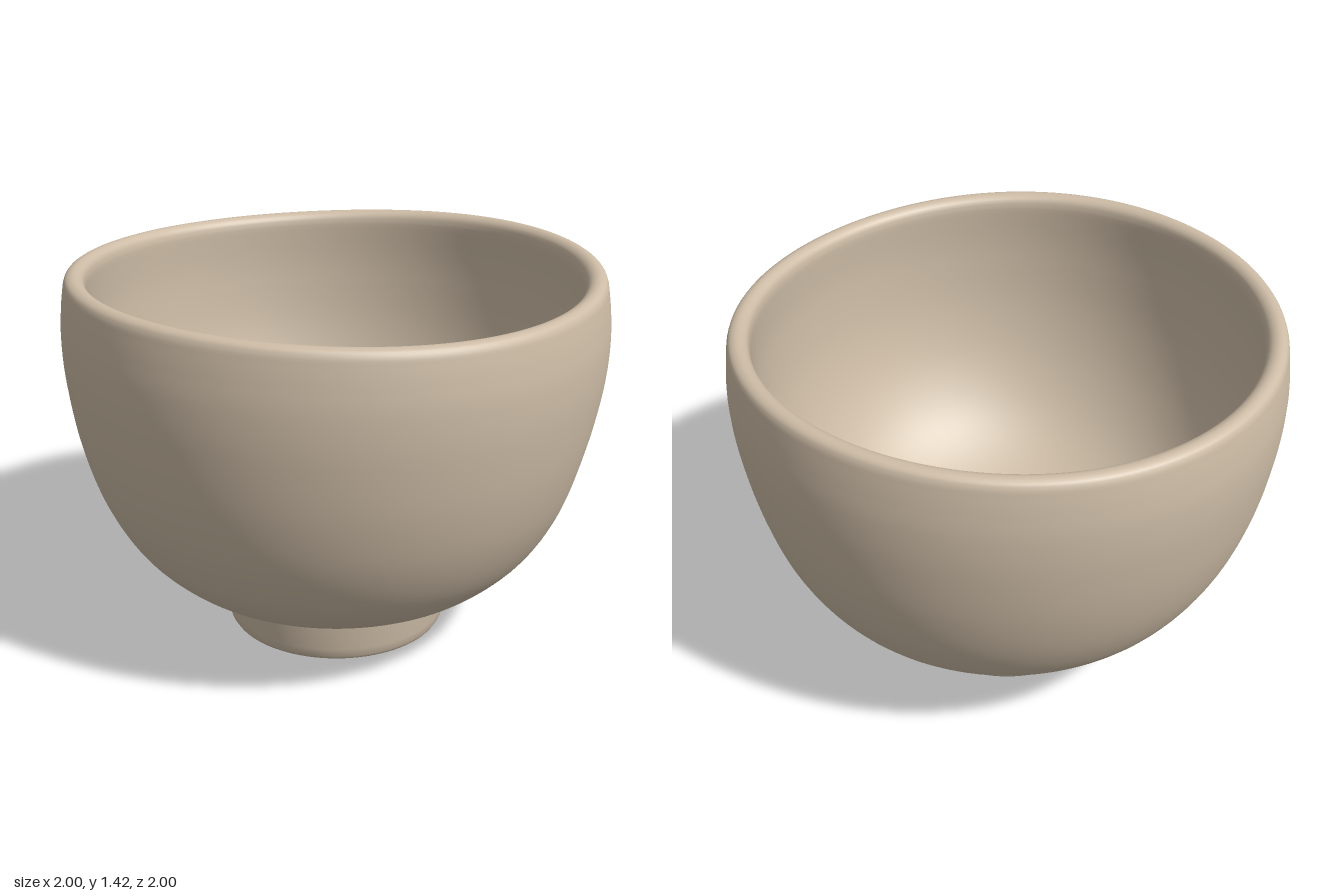
import * as THREE from 'three';
import { mergeVertices, toCreasedNormals } from 'three/addons/utils/BufferGeometryUtils.js';

const SEGMENTS = 128;
const clay = new THREE.MeshStandardMaterial({ color: 0xcdbca6 });

// Smooth curve through [radius, height] pairs
function smooth(pairs, count) {
  const curve = new THREE.SplineCurve(pairs.map(([r, y]) => new THREE.Vector2(r, y)));
  return curve.getPoints(count).map((p) => new THREE.Vector2(Math.max(p.x, 0), p.y));
}

// Lathe without a seam, so normals stay smooth all round
function spin(points) {
  const geometry = new THREE.LatheGeometry(points, SEGMENTS);
  geometry.deleteAttribute('uv');
  geometry.deleteAttribute('normal');
  return mergeVertices(geometry, 1e-5);
}

// Hand-thrown irregularity: wavy rim, slight offset and a soft thumb dent
function handShape(geometry) {
  const pos = geometry.attributes.position;
  for (let i = 0; i < pos.count; i++) {
    const x = pos.getX(i), y = pos.getY(i), z = pos.getZ(i);
    const a = Math.atan2(x, z);
    const t = Math.max(0, (y - 0.2) / 1.2);
    const turn = a - 0.8;
    const dent = 0.018 * Math.exp(-((turn / 0.32) ** 2) - ((y - 0.72) / 0.22) ** 2);
    const scale = 1 - dent + 0.004 * t * Math.cos(3 * a + 2.6);
    const lift = t ** 3 * (-0.016 * Math.cos(2 * a) - 0.003 * Math.sin(3 * a + 0.6));
    pos.setXYZ(i, x * scale, y + lift, z * scale - 0.005 * t);
  }
  geometry.computeVertexNormals();
  return geometry;
}

export function createModel() {
  const group = new THREE.Group();
  group.name = 'teaBowl';

  // Bowl: outer wall, rounded lip and inner wall in one profile
  const outer = smooth([
    [0.43, 0.15], [0.535, 0.21], [0.66, 0.28], [0.79, 0.41], [0.89, 0.59],
    [0.955, 0.8], [0.99, 1.02], [0.998, 1.18], [0.99, 1.29], [0.978, 1.37],
  ], 48);
  const lip = smooth([
    [0.978, 1.37], [0.968, 1.392], [0.945, 1.402], [0.922, 1.397], [0.905, 1.38], [0.9, 1.35],
  ], 14);
  const inner = smooth([
    [0.9, 1.35], [0.905, 1.15], [0.88, 0.9], [0.81, 0.67], [0.69, 0.48],
    [0.52, 0.35], [0.3, 0.275], [0, 0.25],
  ], 44);
  const bowl = new THREE.Mesh(
    handShape(spin([...outer, ...lip.slice(1), ...inner.slice(1)])), clay);
  bowl.name = 'bowl';
  group.add(bowl);

  // Foot ring with a hollow underside
  const footProfile = [
    [0, 0.1], [0.32, 0.1], [0.345, 0.015], [0.358, 0.003], [0.37, 0],
    [0.4, 0], [0.413, 0.005], [0.421, 0.018], [0.426, 0.05], [0.435, 0.155],
  ].map(([r, y]) => new THREE.Vector2(r, y));
  const foot = new THREE.Mesh(toCreasedNormals(spin(footProfile), Math.PI / 4), clay);
  foot.name = 'footRing';
  group.add(foot);

  return group;
}
